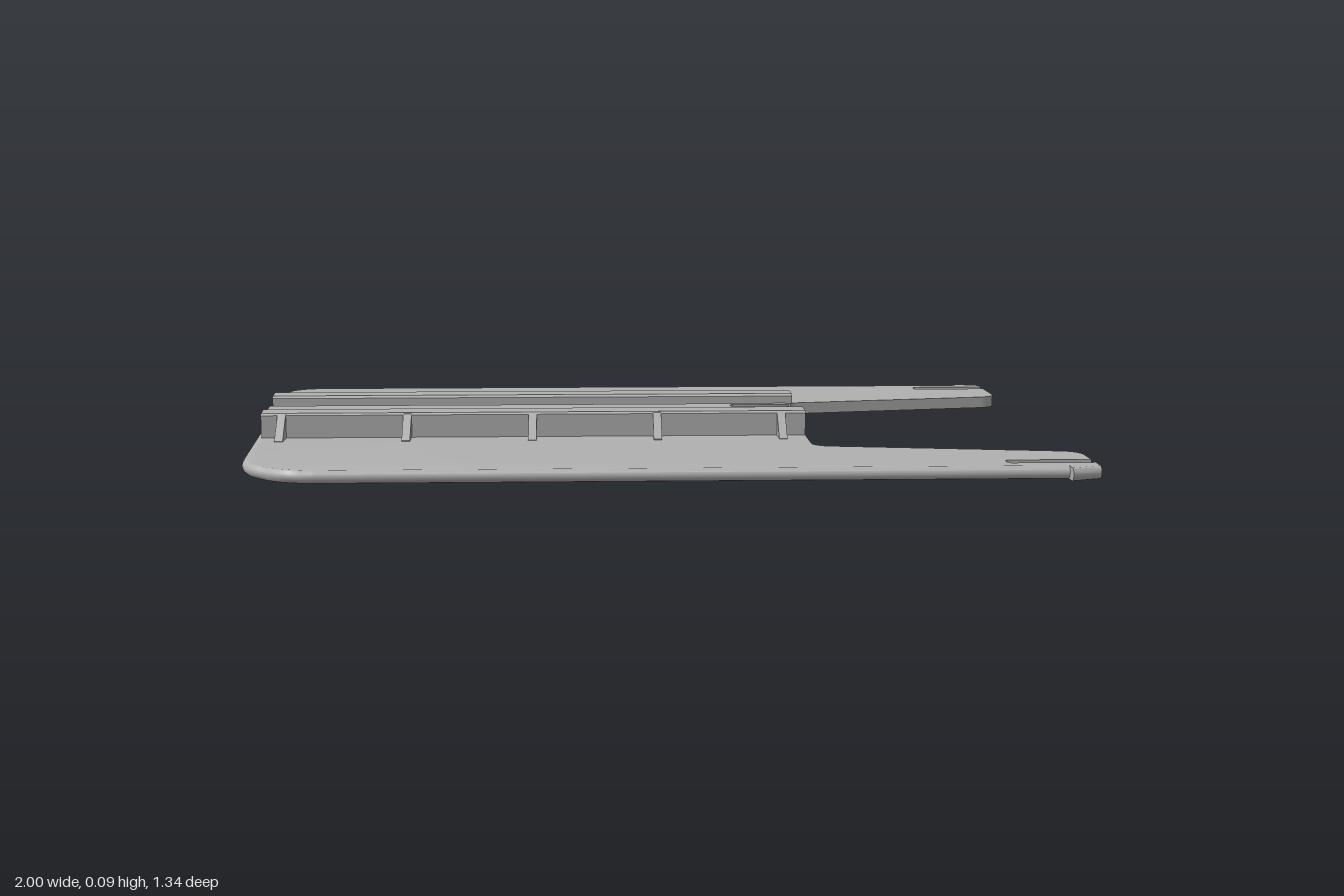
import * as THREE from 'three';
import { toCreasedNormals } from 'three/addons/utils/BufferGeometryUtils.js';

const grey = new THREE.MeshStandardMaterial({ color: 0xb0b0b0 });
grey.name = 'light grey plastic';

const TOP = 0.03; // upper face of the plate
const RAIL_END = 0.39;
// x of the slanted left edge at a given z
const leftEdge = (z) => -1 + 0.065 * (z + 0.56) / 1.02;

function add(group, name, geometry) {
  const mesh = new THREE.Mesh(geometry, grey);
  mesh.name = name;
  group.add(mesh);
  return mesh;
}

// Plate outline in (x, z); only the left, front and back edges move in by d
function outline(d) {
  const s = new THREE.Shape();
  const k = 0.55;
  const round = (cx, cz, x, z) => {
    const p = s.currentPoint;
    s.bezierCurveTo(p.x + (cx - p.x) * k, p.y + (cz - p.y) * k, x + (cx - x) * k, z + (cz - z) * k, x, z);
  };
  const back = -0.647 + d, front = 0.637 - d;
  s.moveTo(-1 + d, -0.56);
  round(-1 + d, back, -0.9, back);
  s.lineTo(0.93, back);
  s.lineTo(0.93, -0.669 + d); // back barb
  s.lineTo(1, -0.645 + d);
  s.lineTo(1, -0.6);
  s.lineTo(0.81, -0.6); // back slot
  round(0.8, -0.6, 0.8, -0.582);
  round(0.8, -0.565, 0.81, -0.565);
  s.lineTo(1, -0.565);
  s.lineTo(1, -0.45);
  round(1, -0.412, 0.96, -0.405);
  s.lineTo(0.43, -0.316);
  round(0.39, -0.309, 0.39, -0.27);
  s.lineTo(0.39, 0.32);
  round(0.39, 0.355, 0.43, 0.361);
  s.lineTo(0.96, 0.445);
  round(1, 0.451, 1, 0.49);
  s.lineTo(1, 0.555);
  s.lineTo(0.81, 0.555); // front slot
  round(0.8, 0.555, 0.8, 0.572);
  round(0.8, 0.59, 0.81, 0.59);
  s.lineTo(1, 0.59);
  s.lineTo(1, 0.642 - d);
  s.lineTo(0.93, 0.667 - d); // front barb
  s.lineTo(0.93, front);
  s.lineTo(-0.75, front);
  round(-0.925 + d, front, -0.935 + d, 0.46);
  return s.getPoints(10);
}

// Stacked outlines give the plate its rounded rim
function plateGeometry() {
  const rings = [];
  const steps = 6, r = 0.012;
  for (let i = 0; i <= steps; i++) {
    const a = -Math.PI / 2 + (Math.PI * i) / steps;
    rings.push({ y: TOP / 2 + (TOP / 2) * Math.sin(a), pts: outline(r * (1 - Math.cos(a))) });
  }
  const n = rings[0].pts.length;
  const pos = [], idx = [];
  rings.forEach(({ y, pts }) => pts.forEach((p) => pos.push(p.x, y, p.y)));
  for (let j = 0; j < steps; j++) {
    for (let i = 0; i < n; i++) {
      const a = j * n + i, b = j * n + ((i + 1) % n);
      idx.push(a, a + n, b + n, a, b + n, b);
    }
  }
  const up = steps * n;
  for (const [a, b, c] of THREE.ShapeUtils.triangulateShape(rings[0].pts, [])) {
    idx.push(a, b, c, up + a, up + c, up + b);
  }
  const g = new THREE.BufferGeometry();
  g.setAttribute('position', new THREE.Float32BufferAttribute(pos, 3));
  g.setIndex(idx);
  return toCreasedNormals(g, 0.7);
}

// Extrudes a [z, y] profile along x
function bar(profile, x0, x1, slanted = false) {
  const shape = new THREE.Shape(profile.map(([z, y]) => new THREE.Vector2(-z, y)));
  const g = new THREE.ExtrudeGeometry(shape, { depth: x1 - x0, bevelEnabled: false });
  g.rotateY(Math.PI / 2).translate(x0, 0, 0);
  if (slanted) {
    // Left end follows the slanted edge of the plate
    const p = g.attributes.position;
    for (let i = 0; i < p.count; i++) {
      if (p.getX(i) < -0.5) p.setX(i, leftEdge(p.getZ(i)) + 0.016);
    }
    g.computeVertexNormals();
  }
  return g;
}

// Hooked rail with gussets; side is +1 in front and -1 at the back
function hookedRail(side) {
  const group = new THREE.Group();
  group.name = side > 0 ? 'frontRail' : 'backRail';
  const centre = 0.023;
  const at = (list) => list.map(([o, y]) => [centre + side * o, y]);
  const profile = at([
    [0.18, 0.025], [0.18, 0.085], [0.175, 0.09], [0.112, 0.09], [0.105, 0.084],
    [0.105, 0.064], [0.134, 0.064], [0.139, 0.059], [0.139, 0.025],
  ]);
  add(group, 'railHook', bar(profile, -0.95, RAIL_END, true));
  const rib = at([[0.175, 0.025], [0.175, 0.088], [0.18, 0.088], [0.238, 0.032], [0.238, 0.025]]);
  for (const x of [-0.885, -0.581, -0.277, 0.026, 0.33]) {
    add(group, 'railGusset', bar(rib, x - 0.01, x + 0.01));
  }
  return group;
}

// Centre rail ending in two springy arms with rounded catches
function centreRail() {
  const group = new THREE.Group();
  group.name = 'centreRail';
  const c = 0.023, w = 0.034, slit = 0.019;
  const s = new THREE.Shape();
  s.moveTo(leftEdge(c - w) + 0.016, -(c - w));
  s.lineTo(leftEdge(c + w) + 0.016, -(c + w));
  s.lineTo(0.315, -(c + w));
  s.bezierCurveTo(0.335, -(c + w), 0.33, -(c + 0.048), 0.347, -(c + 0.048));
  s.bezierCurveTo(0.362, -(c + 0.048), 0.372, -(c + 0.04), 0.372, -(c + 0.03));
  s.quadraticCurveTo(0.372, -(c + slit), 0.36, -(c + slit));
  s.lineTo(0.235, -(c + slit));
  s.quadraticCurveTo(0.22, -(c + slit), 0.22, -c);
  s.quadraticCurveTo(0.22, -(c - slit), 0.235, -(c - slit));
  s.lineTo(0.36, -(c - slit));
  s.quadraticCurveTo(0.372, -(c - slit), 0.372, -(c - 0.03));
  s.bezierCurveTo(0.372, -(c - 0.04), 0.362, -(c - 0.048), 0.347, -(c - 0.048));
  s.bezierCurveTo(0.33, -(c - 0.048), 0.335, -(c - w), 0.315, -(c - w));
  const g = new THREE.ExtrudeGeometry(s, { depth: 0.034, bevelEnabled: false, curveSegments: 8 });
  g.rotateX(-Math.PI / 2).translate(0, 0.042, 0);
  add(group, 'centreClip', toCreasedNormals(g, 0.7));
  const foot = [[c - 0.025, 0.025], [c - 0.025, 0.045], [c + 0.025, 0.045], [c + 0.025, 0.025]];
  add(group, 'centreFoot', bar(foot, -0.95, 0.215, true));
  return group;
}

export function createModel() {
  const model = new THREE.Group();
  model.name = 'mountingPlate';
  add(model, 'basePlate', plateGeometry());
  model.add(hookedRail(1), hookedRail(-1), centreRail());
  return model;
}
